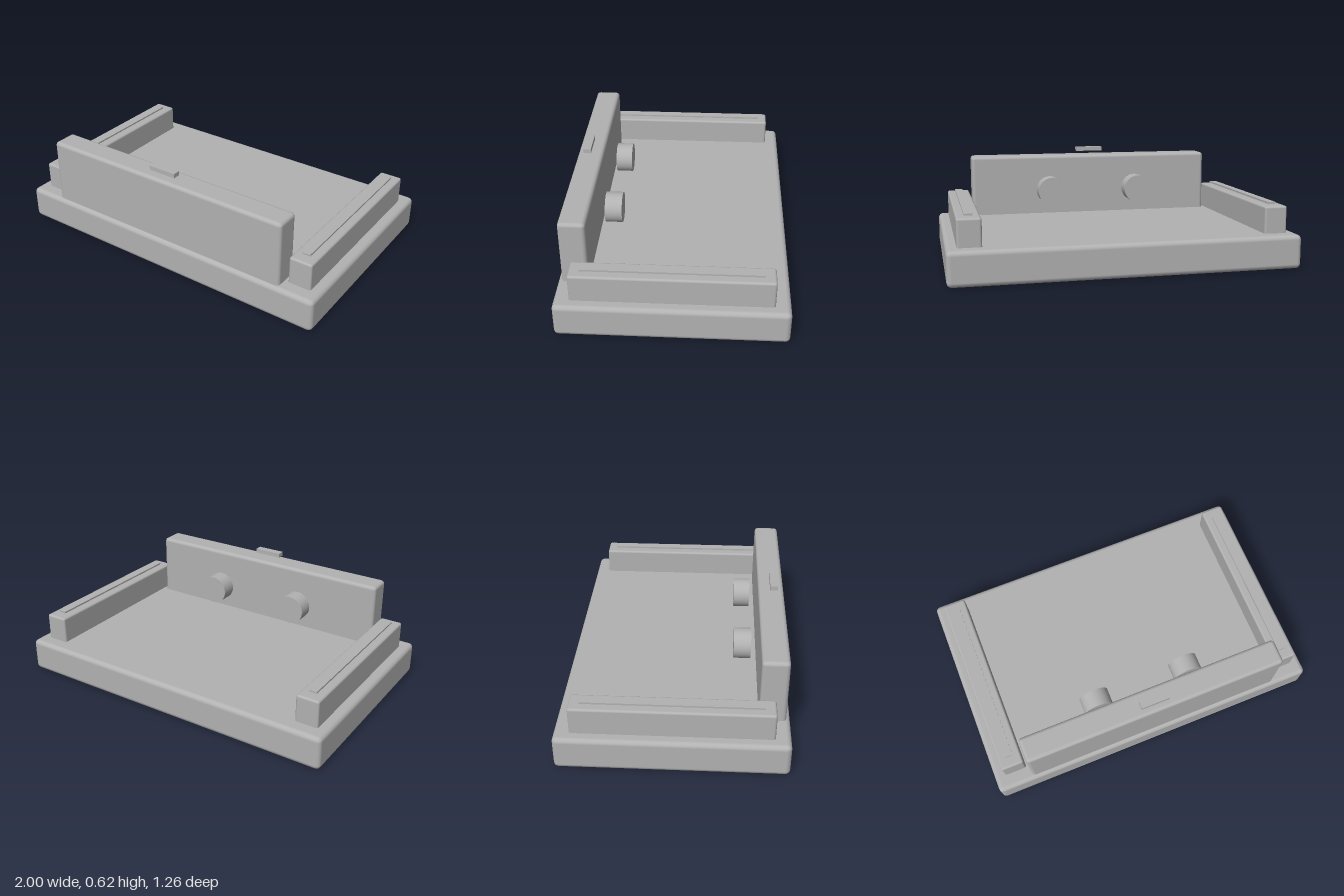
import * as THREE from 'three';
import { RoundedBoxGeometry } from 'three/addons/geometries/RoundedBoxGeometry.js';

const grey = new THREE.MeshStandardMaterial({ color: 0xb2b2b2 });
grey.name = 'grey';

export function createModel() {
  const model = new THREE.Group();
  model.name = 'tray';

  // Adds a block given by its extents; radius softens the edges
  function block(name, [x0, x1], [y0, y1], [z0, z1], radius = 0) {
    const size = [x1 - x0, y1 - y0, z1 - z0];
    const geometry = radius
      ? new RoundedBoxGeometry(...size, 2, radius)
      : new THREE.BoxGeometry(...size);
    const mesh = new THREE.Mesh(geometry, grey);
    mesh.name = name;
    mesh.position.set((x0 + x1) / 2, (y0 + y1) / 2, (z0 + z1) / 2);
    model.add(mesh);
    return mesh;
  }

  // Slab and upright front panel
  block('base', [-1, 1], [0, 0.197], [-0.632, 0.632], 0.028);
  block('frontPanel', [-0.785, 0.785], [0.15, 0.577], [0.46, 0.61], 0.022);

  // Small tab hovering just above the panel
  block('topTab', [-0.085, 0.085], [0.597, 0.623], [0.528, 0.573]);

  for (const [side, s] of [['left', 1], ['right', -1]]) {
    // Side rail with a thin strip along its top
    const rail = block(side + 'Rail', [-0.0675, 0.0675], [0.15, 0.355], [-0.547, 0.547], 0.013);
    rail.position.x = s * 0.872;
    const strip = block(side + 'Strip', [-0.023, 0.023], [0.36, 0.37], [-0.487, 0.487]);
    strip.position.x = s * 0.872;

    // Round knob behind the panel
    const knob = new THREE.Mesh(new THREE.CylinderGeometry(0.088, 0.088, 0.098, 32), grey);
    knob.name = side + 'Knob';
    knob.rotation.x = Math.PI / 2;
    knob.position.set(s * 0.285, 0.358, 0.371);
    model.add(knob);
  }

  return model;
}
